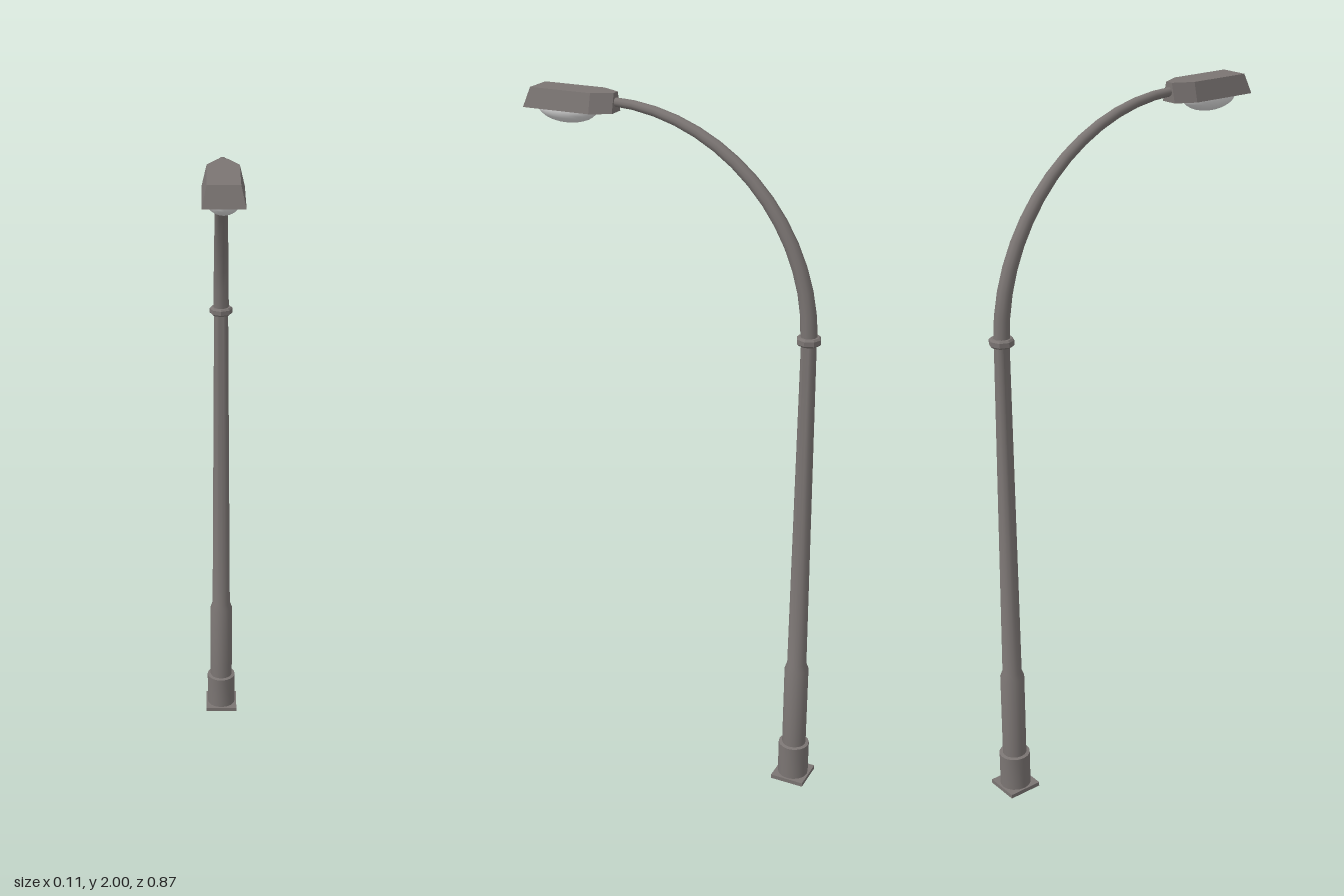
import * as THREE from 'three';
import { toCreasedNormals } from 'three/addons/utils/BufferGeometryUtils.js';

const POLE_Z = -0.387;

export function createModel() {
  const group = new THREE.Group();
  const metal = new THREE.MeshStandardMaterial({ color: 0x7b7573 });
  metal.name = 'grey metal';
  const glass = new THREE.MeshStandardMaterial({ color: 0xd9d9d9 });
  glass.name = 'pale glass';

  const add = (name, geometry, material, x = 0, y = 0, z = 0) => {
    const mesh = new THREE.Mesh(geometry, material);
    mesh.name = name;
    mesh.position.set(x, y, z);
    group.add(mesh);
    return mesh;
  };
  const lathe = (points, sides, crease = 0.8) =>
    toCreasedNormals(new THREE.LatheGeometry(points.map(p => new THREE.Vector2(...p)), sides), crease);

  // Square foot plate
  add('basePlate', new THREE.BoxGeometry(0.1, 0.012, 0.1), metal, 0, 0.006, POLE_Z);

  // Stepped, tapering pole with its foot sleeve
  add('pole', lathe([
    [0.045, 0.01], [0.045, 0.117], [0.035, 0.119], [0.035, 0.375],
    [0.028, 0.395], [0.021, 1.39],
  ], 16), metal, 0, 0, POLE_Z);

  // Octagonal joint between pole and arm
  add('jointCollar', lathe([
    [0, 1.386], [0.029, 1.386], [0.034, 1.391], [0.034, 1.404], [0.029, 1.409], [0, 1.409],
  ], 8, 0.5), metal, 0, 0, POLE_Z);

  // Arm: quarter-ellipse tube, each ring shrunk towards the lamp
  const path = new THREE.CatmullRomCurve3(Array.from({ length: 13 }, (_, i) => {
    const a = (i / 12) * Math.PI / 2;
    return new THREE.Vector3(0, 1.4 + 0.575 * Math.sin(a), 0.195 - 0.582 * Math.cos(a));
  }));
  const rings = 14, sides = 10, startRadius = 0.023, endRadius = 0.012;
  const arm = new THREE.TubeGeometry(path, rings, startRadius, sides);
  const pos = arm.attributes.position;
  const v = new THREE.Vector3();
  for (let i = 0; i < pos.count; i++) {
    const t = Math.floor(i / (sides + 1)) / rings;
    const centre = path.getPointAt(t);
    v.fromBufferAttribute(pos, i).sub(centre)
      .multiplyScalar(THREE.MathUtils.lerp(1, endRadius / startRadius, t)).add(centre);
    pos.setXYZ(i, v.x, v.y, v.z);
  }
  add('arm', arm, metal);

  // Lamp housing: extruded outline with the upper edge drawn inwards
  const outline = new THREE.Shape([
    [-0.024, -0.182], [-0.053, -0.237], [-0.053, -0.437],
    [0.053, -0.437], [0.053, -0.237], [0.024, -0.182],
  ].map(p => new THREE.Vector2(...p)));
  const housing = new THREE.ExtrudeGeometry(outline, { depth: 0.053, bevelEnabled: false });
  housing.rotateX(-Math.PI / 2);
  const hp = housing.attributes.position;
  for (let i = 0; i < hp.count; i++) {
    if (hp.getY(i) < 0.02) continue;
    const x = hp.getX(i);
    hp.setX(i, Math.sign(x) * (Math.abs(x) - 0.0125));
    hp.setZ(i, Math.min(hp.getZ(i), 0.42));
  }
  housing.computeVertexNormals();
  add('lampHousing', housing, metal, 0, 1.947, 0);

  // Shallow glass bowl under the housing
  const bowl = new THREE.SphereGeometry(1, 20, 8, 0, Math.PI * 2, Math.PI / 2, Math.PI / 2);
  bowl.scale(0.047, 0.041, 0.089);
  add('lampGlass', bowl, glass, 0, 1.948, 0.328);

  return group;
}
